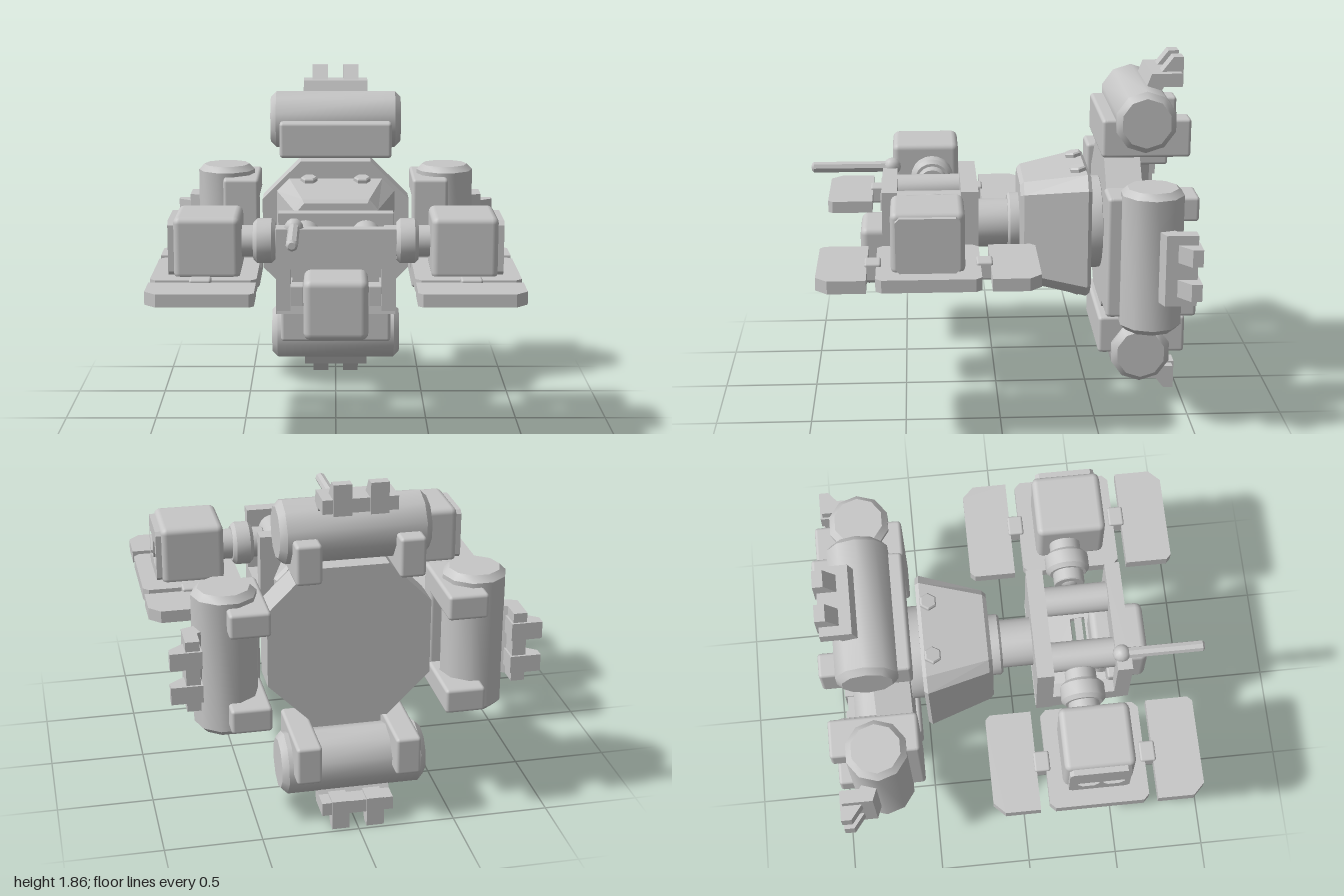
import * as THREE from 'three';
import { toCreasedNormals } from 'three/addons/utils/BufferGeometryUtils.js';
import { RoundedBoxGeometry } from 'three/addons/geometries/RoundedBoxGeometry.js';

const HUB_Y = 0.94;
const grey = new THREE.MeshStandardMaterial({ color: 0xc6c6c6 });
grey.name = 'light grey';

function add(parent, name, geometry, x = 0, y = 0, z = 0) {
  const mesh = new THREE.Mesh(geometry, grey);
  mesh.name = name;
  mesh.position.set(x, y, z);
  parent.add(mesh);
  return mesh;
}

// Box given by its limits on each axis, with optional softened edges
function block(parent, name, [x0, x1], [y0, y1], [z0, z1], radius = 0) {
  const size = [x1 - x0, y1 - y0, z1 - z0];
  const geometry = radius ? new RoundedBoxGeometry(...size, 2, radius) : new THREE.BoxGeometry(...size);
  return add(parent, name, geometry, (x0 + x1) / 2, (y0 + y1) / 2, (z0 + z1) / 2);
}

// Cylinder with chamfered ends along the chosen axis
function drum(axis, radius, length, bevel = 0.012, sides = 20) {
  const h = length / 2;
  const profile = [[0, -h], [radius - bevel, -h], [radius, -h + bevel],
    [radius, h - bevel], [radius - bevel, h], [0, h]].map(p => new THREE.Vector2(...p));
  const g = new THREE.LatheGeometry(profile, sides);
  g.rotateY(Math.PI / 2);
  if (axis === 'x') g.rotateZ(Math.PI / 2);
  if (axis === 'z') g.rotateX(Math.PI / 2);
  return toCreasedNormals(g, 0.66);
}

const outline = points => new THREE.Shape(points.map(p => new THREE.Vector2(...p)));

// Flat [z, y] profile swept along x, centred on x = 0
function sweepX(points, width, holes = []) {
  const shape = outline(points.map(([z, y]) => [-z, y]));
  shape.holes = holes.map(h => outline(h.map(([z, y]) => [-z, y])));
  const g = new THREE.ExtrudeGeometry(shape, { depth: width, bevelEnabled: false });
  return g.translate(0, 0, -width / 2).rotateY(Math.PI / 2);
}

// Flat [x, z] outline given thickness in y, centred on y = 0
function slab(points, thickness, holes = []) {
  const shape = outline(points);
  shape.holes = holes.map(outline);
  const g = new THREE.ExtrudeGeometry(shape, { depth: thickness, bevelEnabled: false });
  return g.translate(0, 0, -thickness / 2).rotateX(Math.PI / 2);
}

const rect = (a0, a1, b0, b1) => [[a0, b0], [a1, b0], [a1, b1], [a0, b1]];
// Rectangle with cut corners, listed from the low-low corner round
function cutRect(a0, a1, b0, b1, c) {
  return [[a0 + c, b0], [a1 - c, b0], [a1, b0 + c], [a1, b1 - c],
    [a1 - c, b1], [a0 + c, b1], [a0, b1 - c], [a0, b0 + c]];
}

// One of the four tanks round the hub, built pointing up
function tankModule() {
  const g = new THREE.Group();
  g.name = 'tankModule';
  add(g, 'tank', drum('x', 0.163, 0.75, 0.032, 10), 0, 0.635, -0.76);
  block(g, 'bracketBar', [-0.32, 0.32], [0.44, 0.645], [-0.66, -0.535], 0.02);
  for (const s of [-1, 1]) {
    block(g, 'bracketArm', [s * 0.255 - 0.065, s * 0.255 + 0.065], [0.44, 0.645], [-1, -0.545], 0.018);
    const prong = [[-0.865, 0.775], [-0.978, 0.775], [-0.978, 0.932], [-0.925, 0.932], [-0.865, 0.855]];
    add(g, 'clipProng', sweepX(prong, 0.09), s * 0.09);
  }
  const base = [[-0.775, 0.775], [-0.805, 0.855], [-0.965, 0.855], [-0.965, 0.785], [-0.87, 0.785], [-0.83, 0.72]];
  add(g, 'clipBase', sweepX(base, 0.37));
  return g;
}

// Engine block, joint and folding panels on one side
function sidePod(s) {
  const g = new THREE.Group();
  g.name = s > 0 ? 'leftPod' : 'rightPod';
  const span = (a, b) => [Math.min(s * a, s * b), Math.max(s * a, s * b)];

  block(g, 'podBody', span(0.488, 0.83), [0.93, 1.255], [0.19, 0.56], 0.035);
  const ports = [0.317, 0.45].map(z => [[z - 0.056, 1.045], [z - 0.03, 1.01], [z + 0.03, 1.01], [z + 0.056, 1.045],
    [z + 0.056, 1.115], [z + 0.03, 1.15], [z - 0.03, 1.15], [z - 0.056, 1.115]]);
  add(g, 'portPlate', sweepX(cutRect(0.215, 0.535, 0.95, 1.232, 0.02), 0.04, ports), s * 0.838);

  add(g, 'jointShaft', drum('x', 0.083, 0.3, 0.005), s * 0.4, 1.09, 0.34);
  add(g, 'jointDisc', drum('x', 0.118, 0.115, 0.02), s * 0.372, 1.09, 0.34);
  add(g, 'jointDome', new THREE.SphereGeometry(0.083, 20, 12), s * 0.32, 1.09, 0.34);

  const outer = 0.945, inner = 0.403;
  add(g, 'middlePanel', slab(cutRect(...span(inner, outer), 0.11, 0.635, 0.03), 0.066), 0, 0.915);
  const flap = (zIn, zOut, d) => slab([[s * inner, zIn], [s * outer, zIn], [s * outer, zOut - d * 0.06],
    [s * (outer - 0.06), zOut], [s * (inner + 0.025), zOut], [s * inner, zOut - d * 0.025]], 0.066);
  add(g, 'frontPanel', flap(0.68, 0.93, 1), 0, 0.915);
  add(g, 'backPanel', flap(0.06, -0.185, -1), 0, 0.915);
  for (const z of [0.09, 0.652]) block(g, 'panelHinge', span(0.63, 0.74), [0.87, 0.965], [z - 0.042, z + 0.042], 0.012);
  return g;
}

export function createModel() {
  const model = new THREE.Group();
  model.name = 'spaceStation';

  // Octagonal hub and its four tanks
  const octagon = new THREE.ExtrudeGeometry(outline(cutRect(-0.42, 0.42, -0.42, 0.42, 0.22)), { depth: 0.19, bevelEnabled: false });
  add(model, 'hub', octagon, 0, HUB_Y, -0.75);
  add(model, 'hubCollar', drum('z', 0.25, 0.09), 0, HUB_Y, -0.525);
  for (let i = 0; i < 4; i++) {
    const tank = tankModule();
    tank.position.y = HUB_Y;
    tank.rotation.z = i * Math.PI / 2;
    model.add(tank);
  }

  // Body tapering to the front
  const bevel = 0.02;
  const body = new THREE.ExtrudeGeometry(outline(cutRect(-0.32, 0.32, -0.32, 0.32, 0.06)),
    { depth: 0.33, bevelEnabled: true, bevelSize: bevel, bevelThickness: bevel, bevelSegments: 1 });
  const p = body.attributes.position;
  for (let i = 0; i < p.count; i++) {
    const t = (p.getZ(i) + bevel) / 0.37;
    p.setX(i, p.getX(i) * (1 - 0.33 * t));
    p.setY(i, p.getY(i) * (1 - 0.19 * t));
  }
  body.computeVertexNormals();
  add(model, 'body', body, 0, HUB_Y, -0.47);
  for (const sy of [-1, 1]) for (const sx of [-1, 1]) {
    const bolt = add(model, 'bodyBolt', drum('y', 0.048, 0.04, 0.008, 6), sx * 0.15, HUB_Y + sy * 0.335, -0.43);
    bolt.rotation.x = sy * 0.18;
  }

  // Neck
  add(model, 'neckCollar', drum('z', 0.165, 0.08), 0, HUB_Y, -0.1);
  add(model, 'neck', drum('z', 0.13, 0.27), 0, HUB_Y, -0.01);

  // Open front frame
  block(model, 'frameBack', [-0.305, 0.305], [0.69, 1.205], [0.105, 0.195]);
  block(model, 'frameTopBar', [-0.305, 0.305], [1, 1.205], [0.53, 0.61]);
  for (const s of [-1, 1]) {
    block(model, 'frameLeg', [s * 0.268 - 0.037, s * 0.268 + 0.037], [0.77, 1], [0.53, 0.61]);
    const wall = [[0.105, 0.69], [0.61, 0.765], [0.61, 0.858], [0.105, 0.858]];
    add(model, 'frameWall', sweepX(wall, 0.074), s * 0.268);
    add(model, 'frameTube', drum('z', 0.08, 0.36, 0.002), s * 0.16, 1.09, 0.365);
    block(model, 'headPivot', [s * 0.2 - 0.04, s * 0.2 + 0.04], [0.76, 0.91], [0.5, 0.59], 0.012);
    const lens = add(model, 'headLens', new THREE.SphereGeometry(0.06, 14, 8), s * 0.078, 0.66, 0.57);
    lens.scale.y = 0.6;
  }
  const floor = add(model, 'frameFloor', slab(rect(-0.3, 0.3, -0.255, 0.255), 0.04, [rect(-0.17, 0.17, -0.01, 0.07)]), 0, 0.749, 0.357);
  floor.rotation.x = -0.147;
  block(model, 'slotBar', [-0.18, 0.18], [0.74, 0.77], [0.368, 0.408]);

  // Head slung in the frame
  block(model, 'head', [-0.165, 0.165], [0.65, 0.968], [0.435, 0.73], 0.04);

  // Antenna on the right of the frame
  add(model, 'antennaBall', new THREE.SphereGeometry(0.048, 12, 8), -0.213, 1.205, 0.56);
  add(model, 'antennaRod', drum('z', 0.03, 0.44, 0.012, 8), -0.213, 1.205, 0.78);

  for (const s of [-1, 1]) model.add(sidePod(s));
  return model;
}
